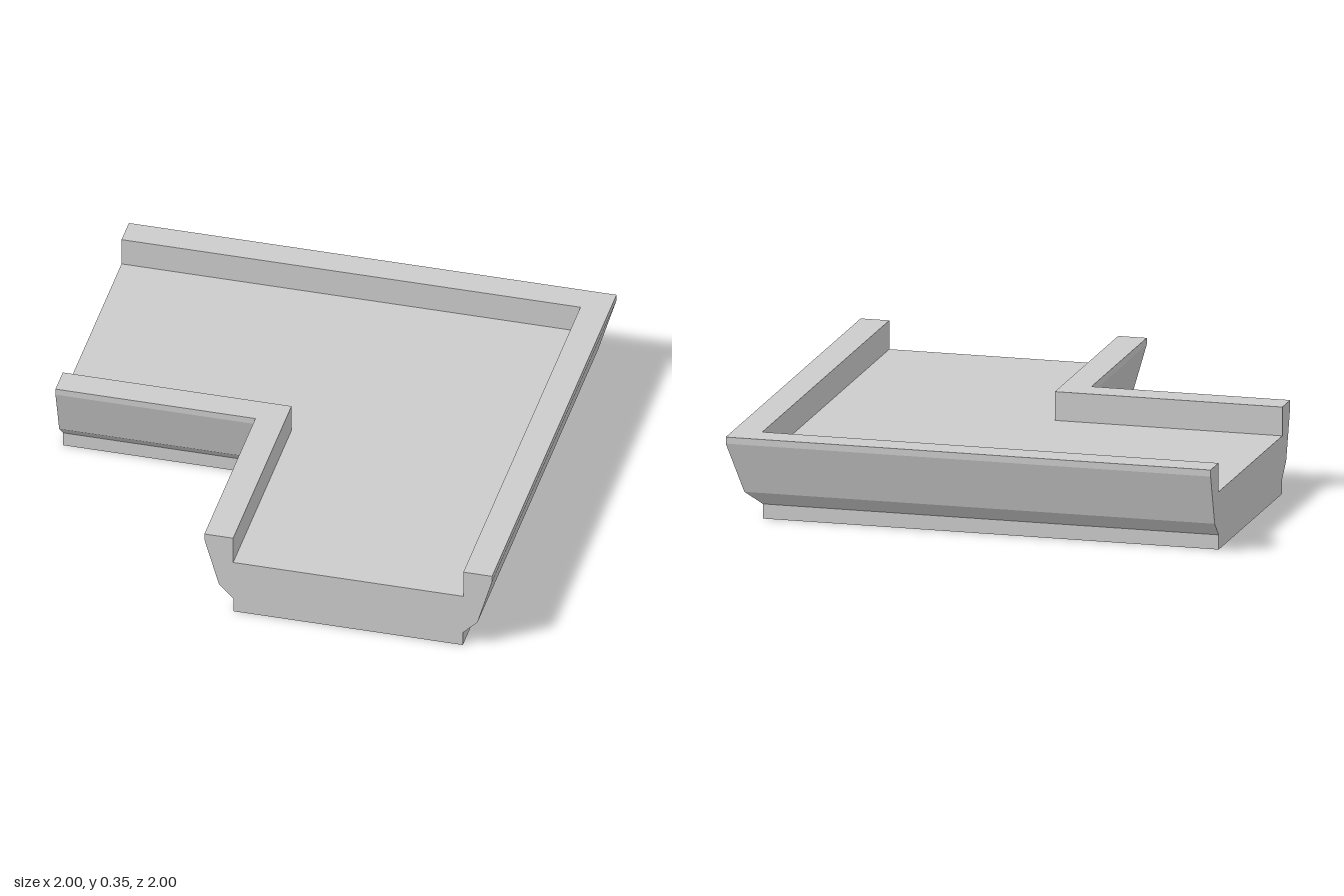
import * as THREE from 'three';

// Half of the channel section, from base to floor: [offset from centre line, height]
const HALF = [
  [0.47, 0], [0.47, 0.06], [0.53, 0.12], [0.59, 0.328],
  [0.59, 0.355], [0.472, 0.355], [0.472, 0.237],
];
const CENTRE = 0.41; // distance of both centre lines from the axes

// Sweeps a closed section through a list of stations, with flat end caps
function sweep(section, stations) {
  const rings = stations.map((place) => section.map(([u, y]) => place(u, y)));
  const positions = [];
  const triangle = (...corners) => corners.forEach((p) => positions.push(...p));
  const n = section.length;

  // Long faces between neighbouring stations
  for (let i = 0; i < rings.length - 1; i++) {
    for (let j = 0; j < n; j++) {
      const k = (j + 1) % n;
      const [a, b, c, d] = [rings[i][j], rings[i][k], rings[i + 1][k], rings[i + 1][j]];
      triangle(a, b, d);
      triangle(b, c, d);
    }
  }

  // End caps
  const contour = section.map(([u, y]) => new THREE.Vector2(u, y));
  const first = rings[0];
  const last = rings[rings.length - 1];
  for (const [a, b, c] of THREE.ShapeUtils.triangulateShape(contour, [])) {
    triangle(first[c], first[b], first[a]);
    triangle(last[a], last[b], last[c]);
  }

  const geometry = new THREE.BufferGeometry();
  geometry.setAttribute('position', new THREE.Float32BufferAttribute(positions, 3));
  geometry.computeVertexNormals();
  return geometry;
}

export function createModel() {
  const group = new THREE.Group();
  group.name = 'cornerChannel';

  // Full section: one half plus its mirror image
  const section = [...HALF, ...HALF.map(([u, y]) => [-u, y]).reverse()];

  // Open left end, mitred corner, open front end
  const stations = [
    (u, y) => [-1, y, -CENTRE - u],
    (u, y) => [CENTRE + u, y, -CENTRE - u],
    (u, y) => [CENTRE + u, y, 1],
  ];

  const material = new THREE.MeshStandardMaterial({ color: 0xcccccc, flatShading: true });
  const channel = new THREE.Mesh(sweep(section, stations), material);
  channel.name = 'channelWithSideWalls';
  group.add(channel);
  return group;
}
